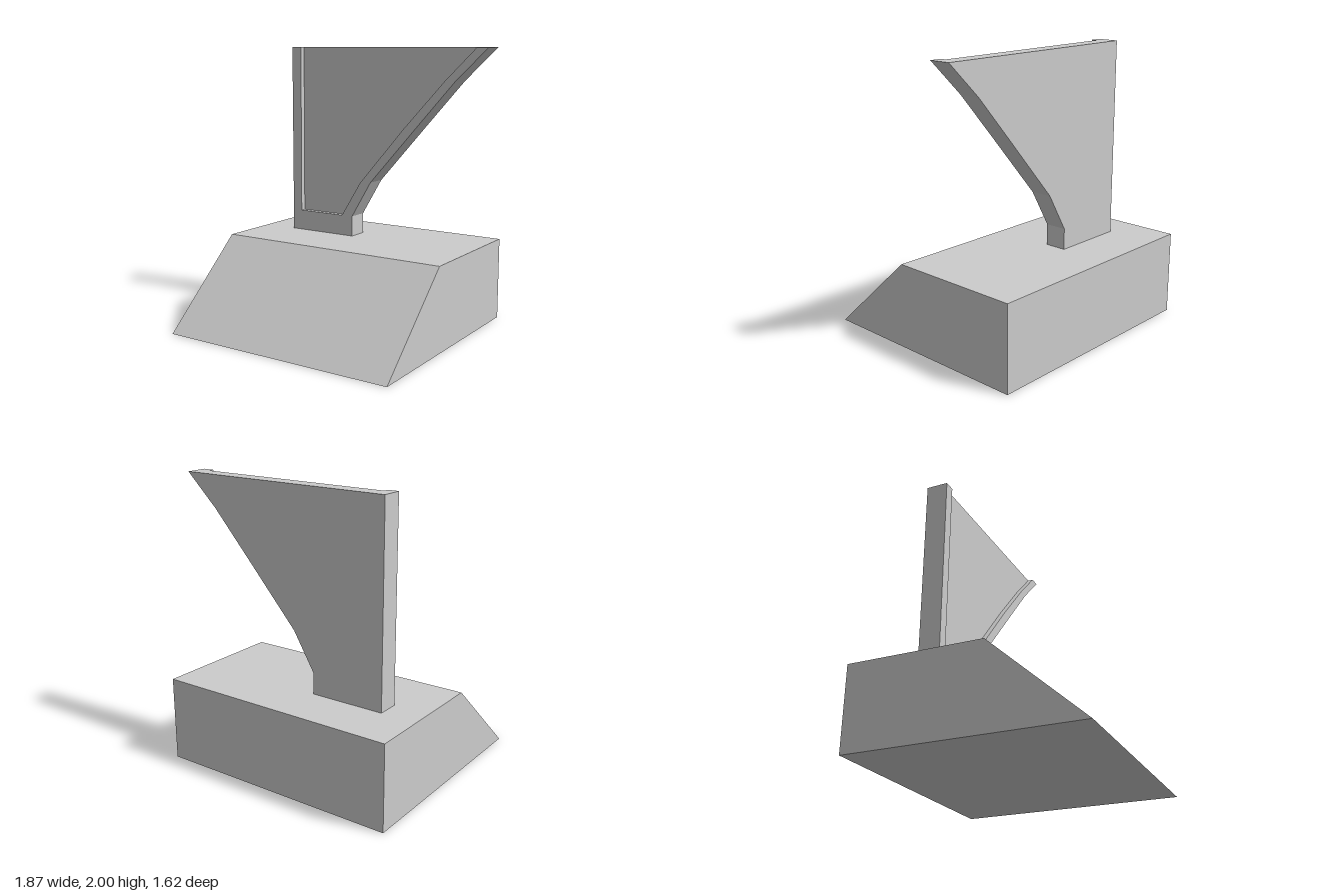
import * as THREE from 'three';

const material = new THREE.MeshStandardMaterial({ color: 0xcccccc, flatShading: true });

// Extrudes an outline of [x, y] corners along +z
function extrude(name, corners, depth) {
  const shape = new THREE.Shape(corners.map(([x, y]) => new THREE.Vector2(x, y)));
  const mesh = new THREE.Mesh(new THREE.ExtrudeGeometry(shape, { depth, bevelEnabled: false }), material);
  mesh.name = name;
  return mesh;
}

export function createModel() {
  const group = new THREE.Group();
  group.name = 'finOnWedgeBase';

  // Base block with a sloping front: side profile turned so its x runs along z
  const base = extrude('base', [[-0.81, 0], [0.81, 0], [0.81, 0.6], [-0.15, 0.6]], 1.76);
  base.rotation.y = Math.PI / 2;
  base.position.x = -0.935;
  group.add(base);

  // Upright flared panel
  const flare = [[-0.14, 0.6], [-0.14, 0.75], [0.02, 1.02], [0.385, 1.43], [0.69, 1.77], [0.93, 2]];
  const panel = extrude('panel', [[-0.68, 0.6], ...flare, [-0.68, 2]], 0.115);
  panel.position.z = -0.45;
  group.add(panel);

  // Raised rim on the front, open along the top
  const inner = [[0.845, 2], [0.61, 1.77], [0.295, 1.43], [-0.07, 1.01], [-0.23, 0.75], [-0.605, 0.75], [-0.6, 2]];
  const rim = extrude('panelRim', [[-0.68, 0.6], ...flare, ...inner, [-0.68, 2]], 0.04);
  rim.position.z = -0.335;
  group.add(rim);

  return group;
}
